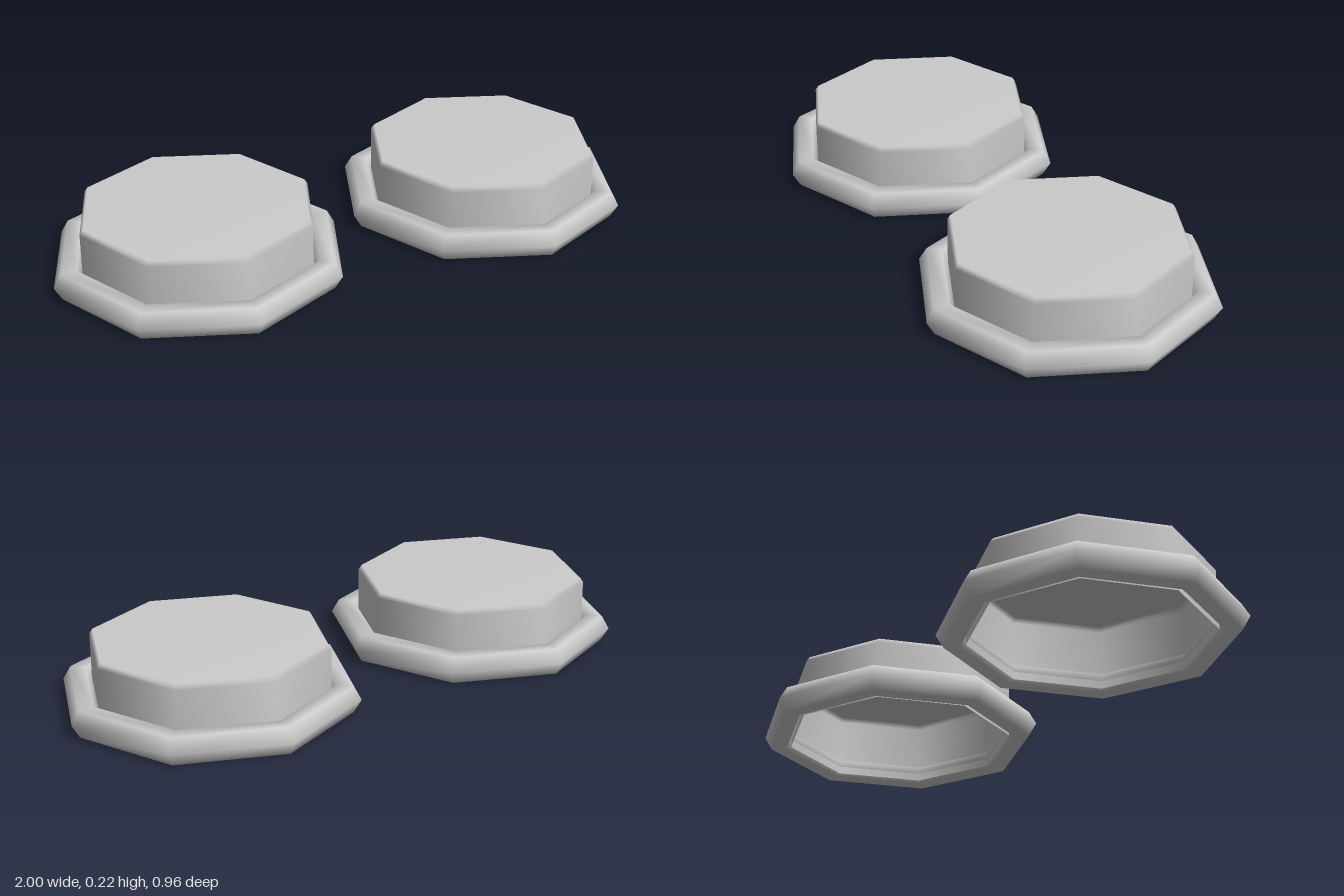
import * as THREE from 'three';

const SIDES = 8;

function createButton(name, x) {
  const material = new THREE.MeshStandardMaterial({ color: 0xcccccc, side: THREE.DoubleSide });
  const button = new THREE.Group();
  button.name = name;
  button.position.x = x;

  // Octagonal rim with a hexagonal section, flat above and below
  const rimGeometry = new THREE.TorusGeometry(0.43, 0.051, 6, SIDES);
  rimGeometry.rotateX(-Math.PI / 2);
  const rim = new THREE.Mesh(rimGeometry, material);
  rim.name = 'rim';
  rim.position.y = 0.044;

  // Hollow cap, open below, with a small bevel round its flat top
  const profile = [
    [0.386, 0.005],
    [0.386, 0.206],
    [0.375, 0.222],
    [0, 0.222],
  ].map(([r, y]) => new THREE.Vector2(r, y));
  const cap = new THREE.Mesh(new THREE.LatheGeometry(profile, SIDES), material);
  cap.name = 'cap';

  button.add(rim, cap);
  return button;
}

export function createModel() {
  const model = new THREE.Group();
  model.name = 'buttonPair';
  model.add(createButton('leftButton', 0.519), createButton('rightButton', -0.519));
  return model;
}
